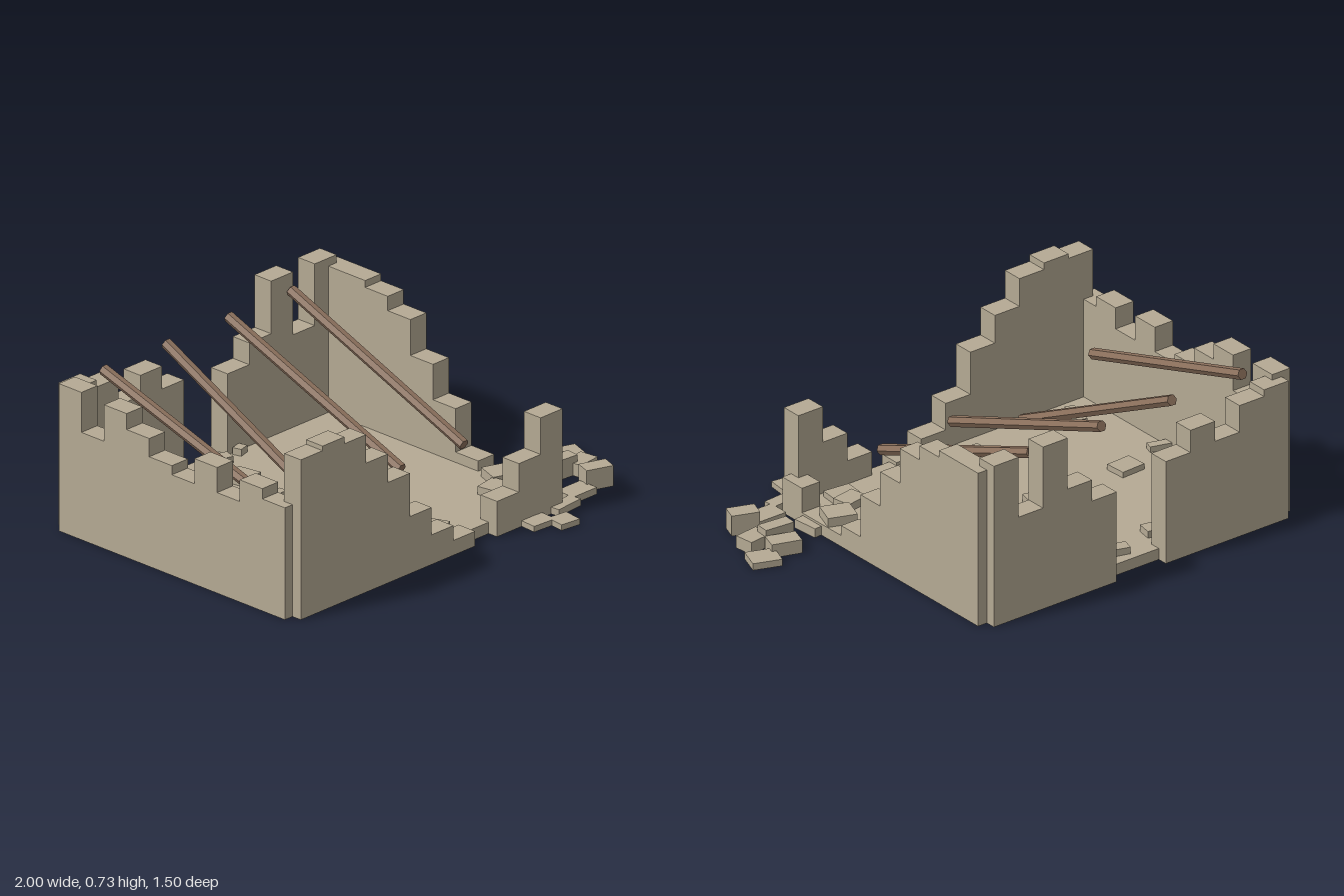
import * as THREE from 'three';

export function createModel() {
  const model = new THREE.Group();
  model.name = 'ruinedHouse';
  const stone = new THREE.MeshStandardMaterial({ color: 0xb5aa94 });
  stone.name = 'weathered stone';
  const wood = new THREE.MeshStandardMaterial({ color: 0x8b705c });
  wood.name = 'old timber';

  const group = (name) => {
    const g = new THREE.Group();
    g.name = name;
    model.add(g);
    return g;
  };
  const block = (parent, name, w, h, d, x, y, z, turn = 0) => {
    const mesh = new THREE.Mesh(new THREE.BoxGeometry(w, h, d), stone);
    mesh.name = name;
    mesh.position.set(x, y + h / 2, z);
    mesh.rotation.y = THREE.MathUtils.degToRad(turn);
    parent.add(mesh);
  };

  // Floor slab
  const floorTop = 0.05;
  block(model, 'floor', 1.595, floorTop, 1.255, -0.2025, 0, -0.0825);

  // Broken walls: one column per height, 0 leaves a gap
  const step = 0.1255, thick = 0.092;
  const wall = (name, heights, alongX, start, across) => {
    const g = group(name);
    heights.forEach((h, i) => {
      if (!h) return;
      const p = start + (i + 0.5) * step;
      if (alongX) block(g, 'wallColumn', step, h, thick, p, 0, across);
      else block(g, 'wallColumn', thick, h, step, across, 0, p);
    });
  };
  wall('frontWall', [0.7, 0.72, 0.69, 0.565, 0.44, 0.25, 0.13, 0.065, 0, 0.155, 0.28, 0.44], true, -0.956, 0.545);
  wall('backWall', [0.62, 0.59, 0.47, 0.56, 0.46, 0, 0, 0.405, 0.5, 0.73, 0.455, 0.725], true, -0.956, -0.709);
  wall('leftmostWall', [0.645, 0.47, 0.63, 0.56, 0.48, 0.44, 0.55, 0.44, 0.535, 0.49], false, -0.71, -0.954);
  wall('rightmostWall', [0.69, 0.69, 0.66, 0.597, 0.44, 0.285, 0.095, 0, 0, 0.16], false, -0.71, 0.549);

  // Fallen roof beams, each leaning down towards the front: [x, front height]
  const beams = group('roofBeams');
  for (const [x, y] of [[-0.8, 0.36], [-0.44, 0.18], [-0.08, 0.29], [0.28, 0.28]]) {
    const back = new THREE.Vector3(x, 0.66, -0.655);
    const front = new THREE.Vector3(x, y, 0.305);
    const dir = front.clone().sub(back);
    const geo = new THREE.CylinderGeometry(0.024, 0.024, dir.length(), 6);
    geo.rotateY(Math.PI / 6);
    geo.rotateX(Math.PI / 2);
    const beam = new THREE.Mesh(geo.toNonIndexed(), wood);
    beam.geometry.computeVertexNormals();
    beam.name = 'roofBeam';
    beam.position.copy(back).add(front).multiplyScalar(0.5);
    beam.rotation.x = Math.atan2(-dir.y, dir.z);
    beams.add(beam);
  }

  // Rubble: [x, z, width, depth, height, turn in degrees]
  const scatter = (name, base, list) => {
    const g = group(name);
    for (const [x, z, w, d, h, turn] of list) block(g, 'rubbleStone', w, h, d, x, base, z, turn);
  };
  scatter('floorRubble', floorTop, [
    [-0.69, -0.52, 0.145, 0.036, 0.02, -16],
    [-0.38, -0.585, 0.05, 0.068, 0.03, -10],
    [-0.165, -0.633, 0.115, 0.055, 0.03, -16],
    [-0.03, -0.64, 0.05, 0.04, 0.03, 15],
    [-0.21, -0.455, 0.115, 0.105, 0.025, 10],
    [-0.248, -0.225, 0.075, 0.038, 0.03, 0],
    [-0.17, -0.092, 0.05, 0.063, 0.035, -14],
    [-0.65, -0.095, 0.115, 0.095, 0.025, 3],
    [-0.88, -0.04, 0.12, 0.04, 0.025, -16],
    [-0.892, -0.35, 0.033, 0.083, 0.03, 0],
    [0.005, 0.175, 0.065, 0.085, 0.035, 12],
    [-0.77, 0.375, 0.042, 0.128, 0.025, -14],
    [-0.245, 0.33, 0.105, 0.125, 0.025, -14],
    [-0.245, 0.36, 0.07, 0.068, 0.04, 0],
    [-0.02, 0.445, 0.062, 0.085, 0.03, 22],
    [0.4, 0.355, 0.11, 0.085, 0.035, 10],
    [0.385, 0.43, 0.12, 0.08, 0.025, -6],
    [0.515, 0.285, 0.125, 0.11, 0.04, -20],
  ]);
  scatter('outerRubble', 0, [
    [0.59, 0.355, 0.09, 0.118, 0.04, 5],
    [0.37, 0.63, 0.115, 0.08, 0.025, -4],
    [0.45, 0.695, 0.095, 0.09, 0.025, -7],
    [0.555, 0.595, 0.14, 0.06, 0.03, 5],
    [0.685, 0.54, 0.135, 0.095, 0.03, 0],
    [0.812, 0.525, 0.12, 0.075, 0.09, -20],
    [0.8, 0.28, 0.13, 0.08, 0.06, -18],
    [0.922, 0.255, 0.125, 0.105, 0.03, -20],
    [0.775, 0.36, 0.135, 0.06, 0.085, -5],
    [0.87, 0.385, 0.11, 0.085, 0.055, 7],
  ]);

  return model;
}
